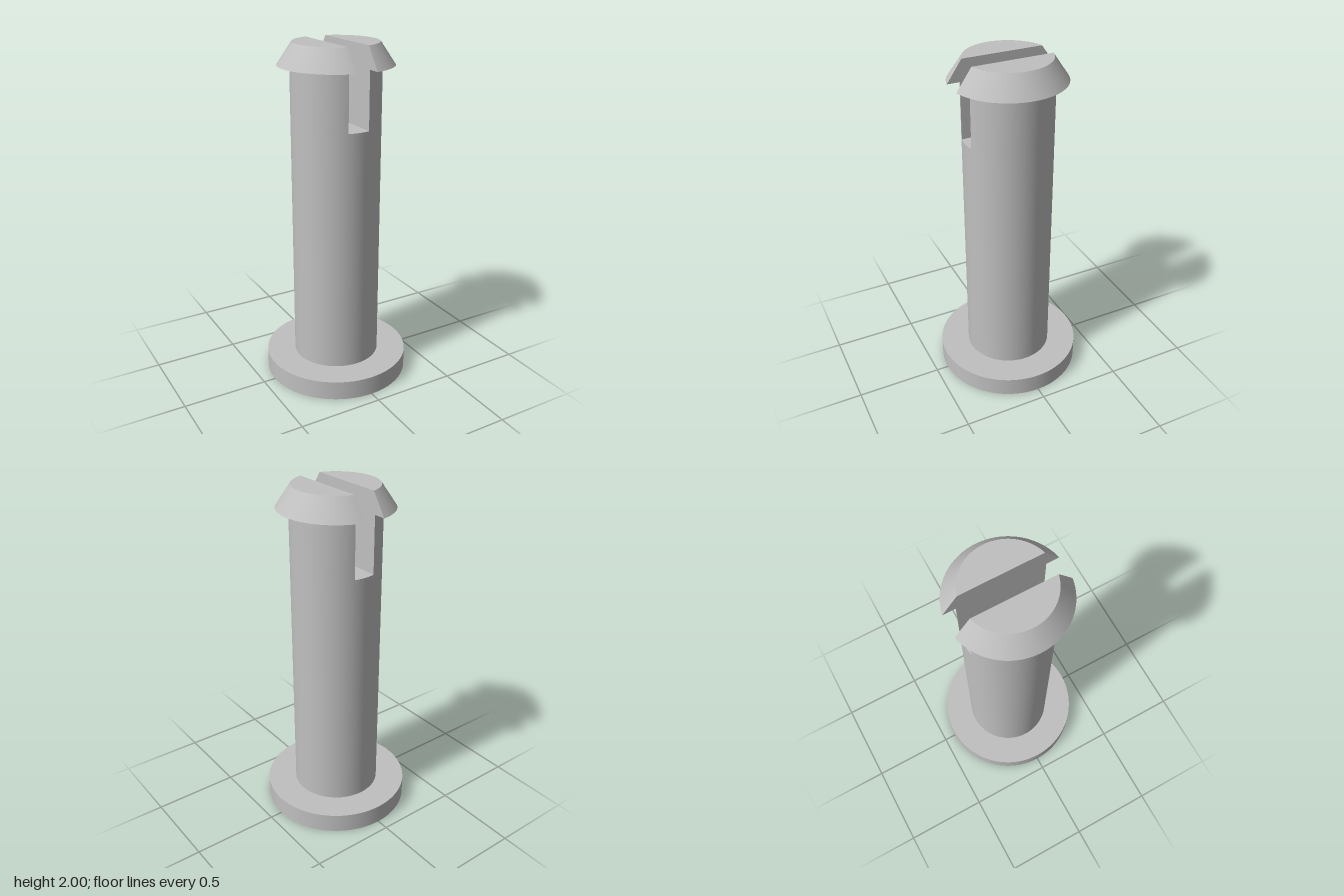
import * as THREE from 'three';
import { mergeGeometries } from 'three/addons/utils/BufferGeometryUtils.js';

const SEGMENTS = 48;
const SLOT = 0.064; // half width of the slot
const BASE_R = 0.427, BASE_TOP = 0.115;
const SHAFT_R = 0.256, SLOT_FLOOR = 1.545;
const LIP_R = 0.327, LIP_Y = 1.875, TOP_R = 0.243, TOP_Y = 2;

// Arc of radius r at height y, cut off where it meets the slot wall
function arc(r, y) {
  const limit = Math.acos(SLOT / r);
  return Array.from({ length: SEGMENTS + 1 }, (_, i) => {
    const t = limit * (2 * i / SEGMENTS - 1);
    return new THREE.Vector3(r * Math.cos(t), y, r * Math.sin(t));
  });
}

// The same points moved straight onto the slot wall
const chord = (r, y) => arc(r, y).map(p => p.setX(SLOT));

// Surface between two rows of points
function strip(a, b) {
  const n = a.length, index = [];
  for (let i = 0; i < n - 1; i++) {
    index.push(i, n + i, i + 1, n + i, n + i + 1, i + 1);
  }
  const g = new THREE.BufferGeometry().setFromPoints([...a, ...b]);
  g.setIndex(index);
  g.computeVertexNormals();
  return g;
}

export function createModel() {
  const model = new THREE.Group();
  model.name = 'slottedPin';
  const grey = new THREE.MeshStandardMaterial({ color: 0xc0c0c0 });
  grey.name = 'grey';

  const add = (parent, name, geometry) => {
    const mesh = new THREE.Mesh(geometry, grey);
    mesh.name = name;
    parent.add(mesh);
    return mesh;
  };
  const disc = (name, r, y0, y1) => {
    add(model, name, new THREE.CylinderGeometry(r, r, y1 - y0, 96)).position.y = (y0 + y1) / 2;
  };

  // Flange and solid shaft up to the slot floor
  disc('baseFlange', BASE_R, 0, BASE_TOP);
  disc('shaft', SHAFT_R, BASE_TOP, SLOT_FLOOR);

  // Upper shaft half: round side and slot wall
  const stem = mergeGeometries([
    strip(arc(SHAFT_R, SLOT_FLOOR), arc(SHAFT_R, LIP_Y)),
    strip(chord(SHAFT_R, LIP_Y), chord(SHAFT_R, SLOT_FLOOR)),
  ]);
  // Tapered head half: underside, cone, top and slot wall
  const head = mergeGeometries([
    strip(arc(SHAFT_R, LIP_Y), arc(LIP_R, LIP_Y)),
    strip(arc(LIP_R, LIP_Y), arc(TOP_R, TOP_Y)),
    strip(arc(TOP_R, TOP_Y), chord(TOP_R, TOP_Y)),
    strip(chord(TOP_R, TOP_Y), chord(LIP_R, LIP_Y)),
  ]);

  // Two opposite prongs
  ['leftProng', 'rightProng'].forEach((name, i) => {
    const prong = new THREE.Group();
    prong.name = name;
    add(prong, 'prongStem', stem);
    add(prong, 'prongHead', head);
    prong.rotation.y = i * Math.PI;
    model.add(prong);
  });

  return model;
}
